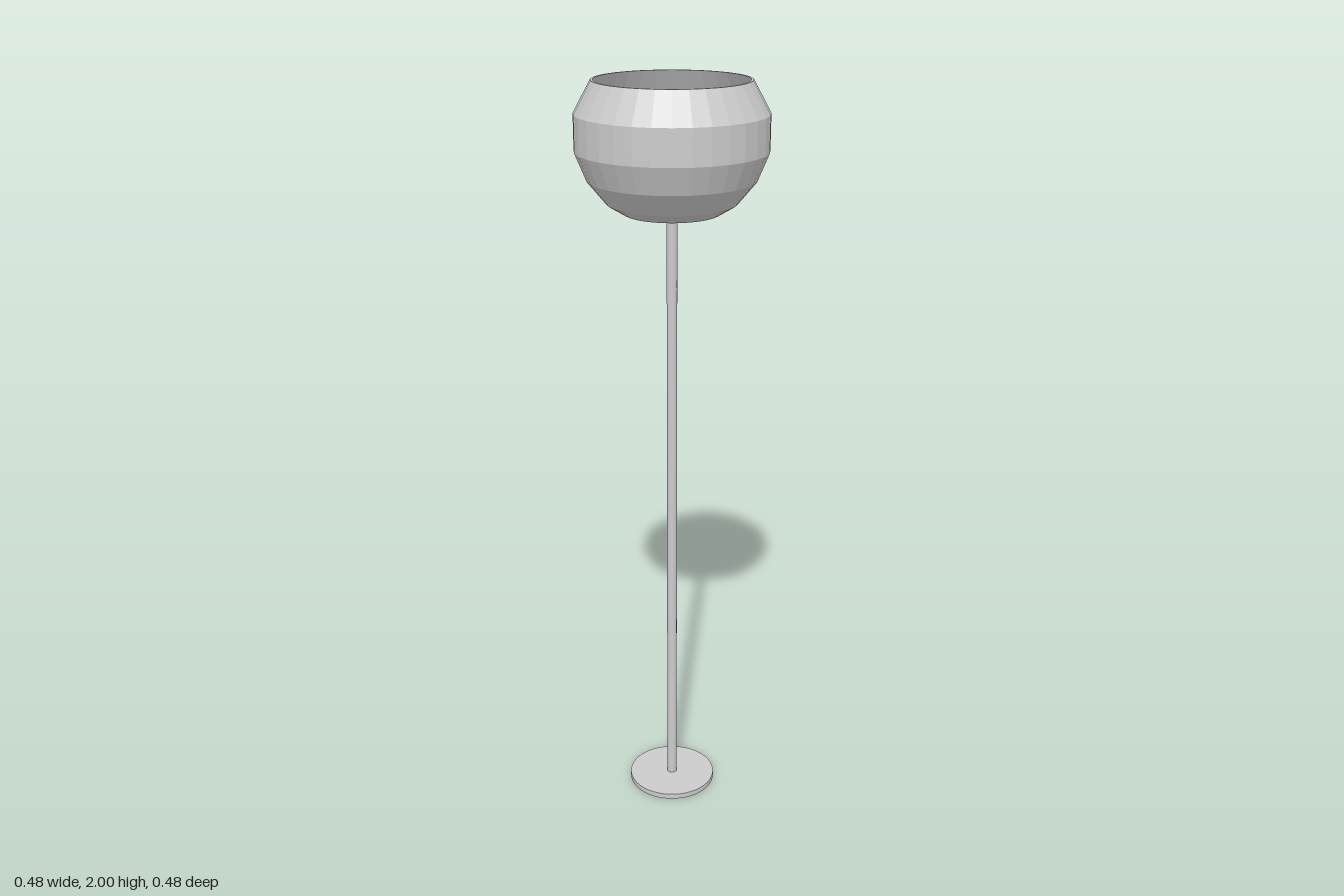
import * as THREE from 'three';

export function createModel() {
  const group = new THREE.Group();
  const smooth = new THREE.MeshStandardMaterial({ color: 0xcccccc });
  const faceted = new THREE.MeshStandardMaterial({ color: 0xcccccc, flatShading: true });

  const add = (name, geometry, material, y) => {
    const mesh = new THREE.Mesh(geometry, material);
    mesh.name = name;
    mesh.position.y = y;
    group.add(mesh);
  };

  // Flat round foot and slim pole
  add('base', new THREE.CylinderGeometry(0.121, 0.121, 0.015, 48), smooth, 0.0075);
  add('pole', new THREE.CylinderGeometry(0.0135, 0.0135, 1.64, 24), smooth, 0.832);

  // Open faceted bowl: outer wall going up, thin rim, inner wall going down
  const outer = [
    [0, 1.65], [0.122, 1.676], [0.165, 1.702], [0.213, 1.76],
    [0.242, 1.83], [0.242, 1.92], [0.198, 2],
  ];
  const inner = [
    [0.192, 2], [0.237, 1.919], [0.237, 1.831], [0.209, 1.763],
    [0.161, 1.706], [0.118, 1.681], [0, 1.655],
  ];
  const profile = [...outer, ...inner].map(([r, y]) => new THREE.Vector2(r, y));
  add('shade', new THREE.LatheGeometry(profile, 32), faceted, 0);

  // Small bulb resting at the bottom of the bowl
  add('bulb', new THREE.SphereGeometry(0.023, 24, 16), smooth, 1.678);

  return group;
}
